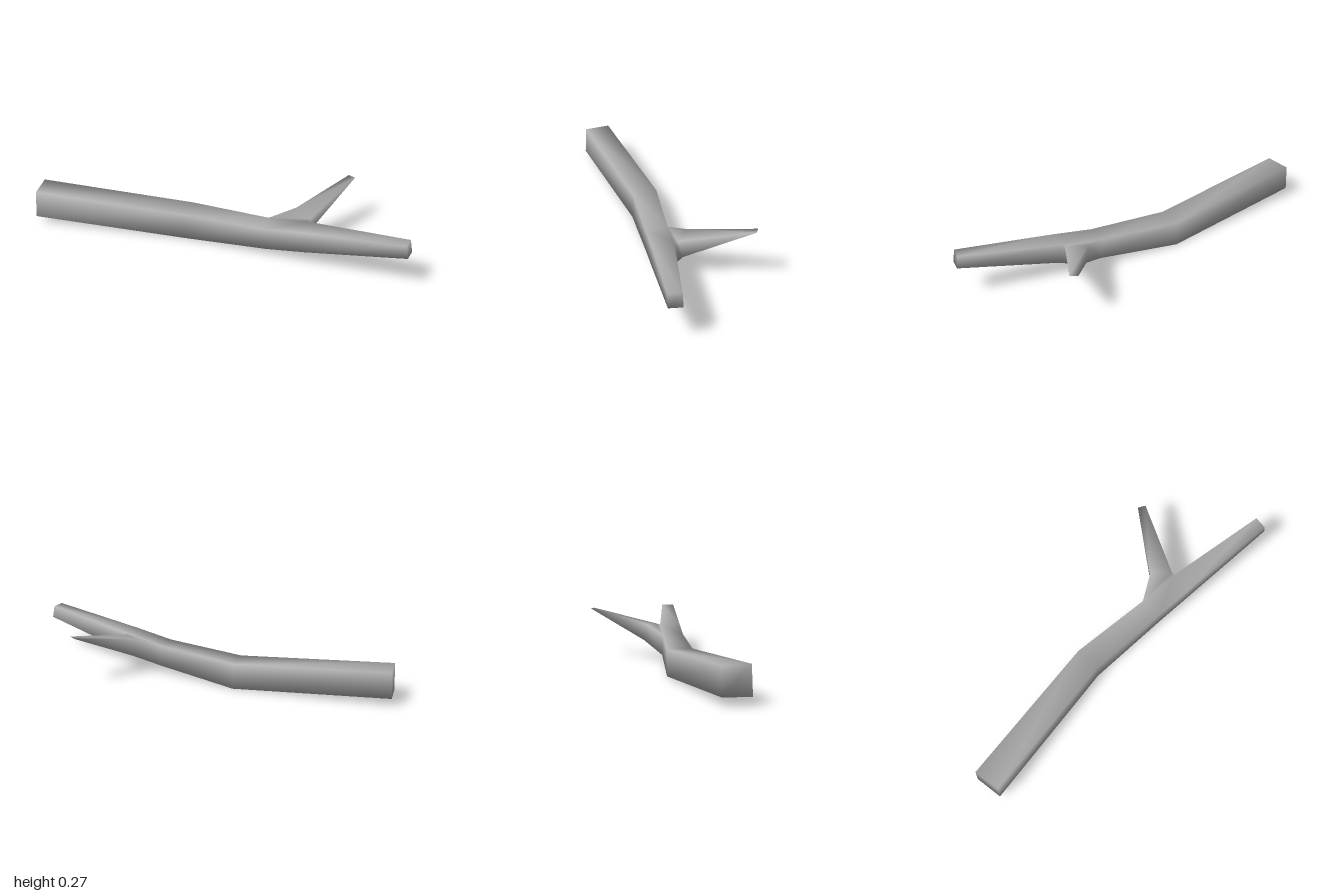
import * as THREE from 'three';

export function createModel() {
  const bark = new THREE.MeshStandardMaterial({ color: 0xb0b0b0 });
  bark.name = 'grey bark';

  // Square cross-sections: top front, top back, bottom back, bottom front
  const limb = [
    [[-0.975, 0.185, 0.255], [-0.993, 0.185, 0.115], [-1.0, 0.045, 0.117], [-0.983, 0.04, 0.26]],
    [[-0.175, 0.139, 0.16], [-0.18, 0.139, 0.026], [-0.18, 0, 0.027], [-0.175, 0, 0.163]],
    [[0.25, 0.156, 0.195], [0.25, 0.156, 0.08], [0.26, 0.043, 0.08], [0.27, 0.043, 0.197]],
    [[0.46, 0.187, 0.217], [0.465, 0.187, 0.105], [0.49, 0.079, 0.115], [0.48, 0.079, 0.22]],
    [[0.978, 0.247, 0.277], [0.988, 0.247, 0.211], [1.0, 0.181, 0.21], [0.99, 0.181, 0.278]],
  ];
  // Fork collar and its wedge tip: top left, top right, bottom right, bottom left
  const collar = [[0.375, 0.2, 0.012], [0.465, 0.193, 0.085], [0.455, 0.094, 0.058], [0.39, 0.11, 0]];
  const tip = [[0.583, 0.273, -0.277], [0.62, 0.274, -0.256]];

  const points = [...limb.flat(), ...collar, ...tip];
  const index = [];
  const quad = (a, b, c, d) => index.push(a, b, c, a, c, d);

  // Main limb, left open where the fork grows from its back
  for (let s = 0; s < limb.length - 1; s++) {
    for (let k = 0; k < 4; k++) {
      if (s === 2 && k === 1) continue;
      const n = (k + 1) % 4;
      quad(s * 4 + k, s * 4 + 4 + k, s * 4 + 4 + n, s * 4 + n);
    }
  }
  quad(0, 1, 2, 3);
  quad(19, 18, 17, 16);

  // Fork, from the opening through the collar to the wedge tip
  const root = [9, 13, 14, 10];
  const ring = [20, 21, 22, 23];
  const end = [24, 25, 25, 24];
  for (let k = 0; k < 4; k++) {
    const n = (k + 1) % 4;
    quad(root[k], root[n], ring[n], ring[k]);
    if (end[k] !== end[n]) quad(ring[k], ring[n], end[n], end[k]);
    else index.push(ring[k], ring[n], end[k]);
  }

  const geometry = new THREE.BufferGeometry();
  geometry.setAttribute('position', new THREE.Float32BufferAttribute(points.flat(), 3));
  geometry.setIndex(index);
  geometry.computeVertexNormals();

  const branch = new THREE.Mesh(geometry, bark);
  branch.name = 'forkedBranch';
  const group = new THREE.Group();
  group.name = 'branch';
  group.add(branch);
  return group;
}
